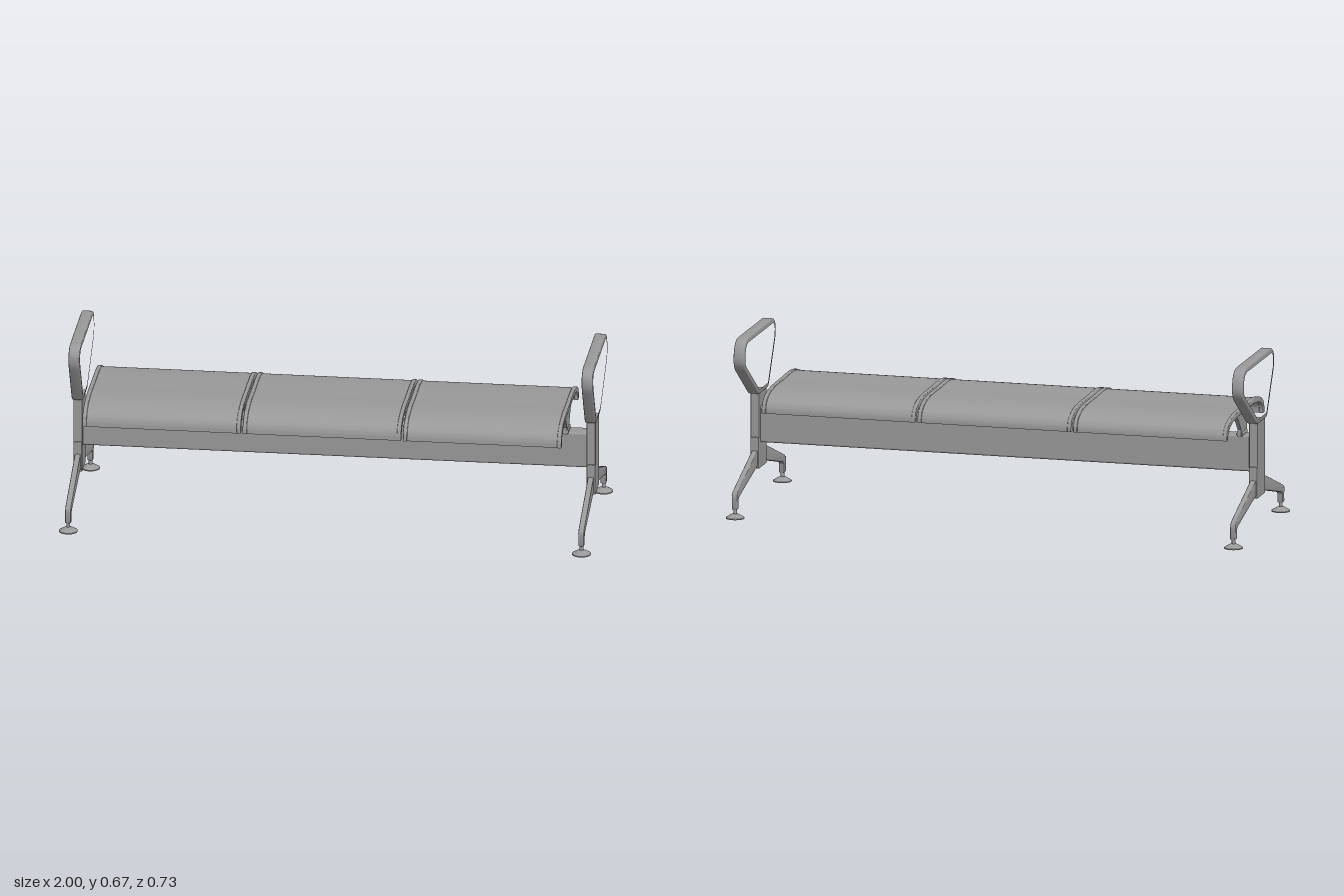
import * as THREE from 'three';
import { toCreasedNormals } from 'three/addons/utils/BufferGeometryUtils.js';
import { RoundedBoxGeometry } from 'three/addons/geometries/RoundedBoxGeometry.js';

const material = new THREE.MeshStandardMaterial({ color: 0x999999 });
const V = (z, y) => new THREE.Vector2(z, y);

function add(parent, name, geometry, x = 0, y = 0, z = 0) {
  const mesh = new THREE.Mesh(geometry, material);
  mesh.name = name;
  mesh.position.set(x, y, z);
  parent.add(mesh);
  return mesh;
}

// Extrude a (z, y) outline along x, centred on x = 0
function slab(shape, width, bevel = 0) {
  const g = new THREE.ExtrudeGeometry(shape, {
    depth: width - 2 * bevel, bevelEnabled: bevel > 0, bevelThickness: bevel,
    bevelSize: bevel, bevelOffset: -bevel, bevelSegments: 3, curveSegments: 8,
  });
  g.translate(0, 0, -width / 2 + bevel);
  g.rotateY(-Math.PI / 2);
  return toCreasedNormals(g, 0.6);
}

// Closed outline with softened corners; each corner is [z, y, cut length]
function roundedLoop(corners) {
  const out = [];
  corners.forEach(([z, y, cut], i) => {
    const n = corners.length;
    const p = V(z, y);
    if (!cut) return out.push(p);
    const [a, b] = [corners[(i + n - 1) % n], corners[(i + 1) % n]].map((q) =>
      V(q[0], q[1]).sub(p).normalize().multiplyScalar(cut).add(p));
    out.push(...new THREE.QuadraticBezierCurve(a, p, b).getPoints(8));
  });
  return out;
}

// Shift a run of points to the left of its direction of travel
function offset(points, d, closed = false) {
  const n = points.length;
  return points.map((p, i) => {
    const a = points[closed ? (i + n - 1) % n : Math.max(i - 1, 0)];
    const b = points[closed ? (i + 1) % n : Math.min(i + 1, n - 1)];
    const t = b.clone().sub(a).normalize();
    return V(p.x - t.y * d, p.y + t.x * d);
  });
}

// Seat arch, front lip to back lip
const arch = new THREE.SplineCurve([
  V(0.26, 0.392), V(0.257, 0.418), V(0.24, 0.444), V(0.2, 0.463), V(0.12, 0.475),
  V(0, 0.473), V(-0.12, 0.472), V(-0.2, 0.463), V(-0.25, 0.441), V(-0.268, 0.415), V(-0.27, 0.392),
]).getPoints(50);

// Outline between two depths below the arch
const archShape = (top, bottom) =>
  new THREE.Shape([...offset(arch, top), ...offset(arch, bottom).reverse()]);

function createSeats(group) {
  const width = 0.596, trim = 0.016, pitch = 0.603;
  const panelGeo = slab(archShape(0.004, 0.017), width - trim);
  const trimGeo = slab(archShape(0, 0.021), trim, 0.003);
  for (let i = 0; i < 3; i++) {
    const x = -0.624 + i * pitch;
    add(group, 'seatPanel', panelGeo, x);
    for (const s of [-1, 1]) add(group, 'seatEdgeTrim', trimGeo, x + s * (width - trim) / 2);
  }
}

// Brackets carrying the seats on the beam
function createBrackets(group) {
  const shape = new THREE.Shape([
    V(0.115, 0.455), V(0.085, 0.446), V(0.035, 0.39), V(0.035, 0.362), V(-0.045, 0.362),
    V(-0.045, 0.39), V(-0.095, 0.445), V(-0.125, 0.452), V(-0.1, 0.457), V(0.1, 0.458),
  ]);
  [-0.908, -0.323, 0.281, 0.866].forEach((x, i) => {
    const end = i === 0 || i === 3;
    add(group, 'seatBracket', slab(shape, end ? 0.014 : 0.03), x);
    add(group, 'bracketFoot', new RoundedBoxGeometry(end ? 0.024 : 0.056, 0.014, 0.075, 2, 0.004), x, 0.369, -0.005);
  });
}

// End frame: upright, armrest loop, two legs and feet
function createEndFrame() {
  const frame = new THREE.Group();
  frame.name = 'endFrame';
  add(frame, 'upright', new RoundedBoxGeometry(0.034, 0.289, 0.104, 2, 0.003), 0, 0.2755, -0.003);
  add(frame, 'legMountPlates', new RoundedBoxGeometry(0.033, 0.119, 0.111, 2, 0.003), 0, 0.1915, -0.003);

  const loop = roundedLoop([
    [0.06, 0.425, 0.014], [-0.07, 0.425, 0.014], [-0.282, 0.57, 0.04], [-0.265, 0.662, 0.052],
    [0.137, 0.662, 0.02], [0.16, 0.636, 0.014], [0.159, 0.597, 0.02],
  ]);
  const band = new THREE.Shape(offset(loop, 0.0063, true));
  band.holes.push(new THREE.Path(offset(loop, -0.0063, true)));
  add(frame, 'armrest', slab(band, 0.042, 0.0055));

  const leg = new THREE.Shape(roundedLoop([
    [0.04, 0.206, 0], [0.335, 0.1, 0.013], [0.342, 0.086, 0.007], [0.342, 0.035, 0.003],
    [0.319, 0.035, 0.003], [0.319, 0.075, 0.014], [0.04, 0.144, 0],
  ]));
  const legGeo = slab(leg, 0.022, 0.004);
  const foot = toCreasedNormals(new THREE.LatheGeometry([
    V(0, 0), V(0.035, 0), V(0.035, 0.004), V(0.016, 0.015), V(0.011, 0.018),
    V(0.007, 0.018), V(0.007, 0.04), V(0, 0.04),
  ], 24), 0.6);
  for (const s of [1, -1]) {
    const mesh = add(frame, s > 0 ? 'frontLeg' : 'backLeg', legGeo);
    if (s < 0) mesh.rotation.y = Math.PI;
    add(frame, 'levellingFoot', foot, 0, 0, s * 0.331);
  }
  return frame;
}

export function createModel() {
  const model = new THREE.Group();
  model.name = 'bench';

  add(model, 'beam', new RoundedBoxGeometry(1.91, 0.138, 0.062, 3, 0.008), 0, 0.297, -0.006);
  createSeats(model);
  createBrackets(model);
  for (const s of [-1, 1]) {
    const frame = createEndFrame();
    frame.position.x = s * 0.965;
    model.add(frame);
  }
  return model;
}
